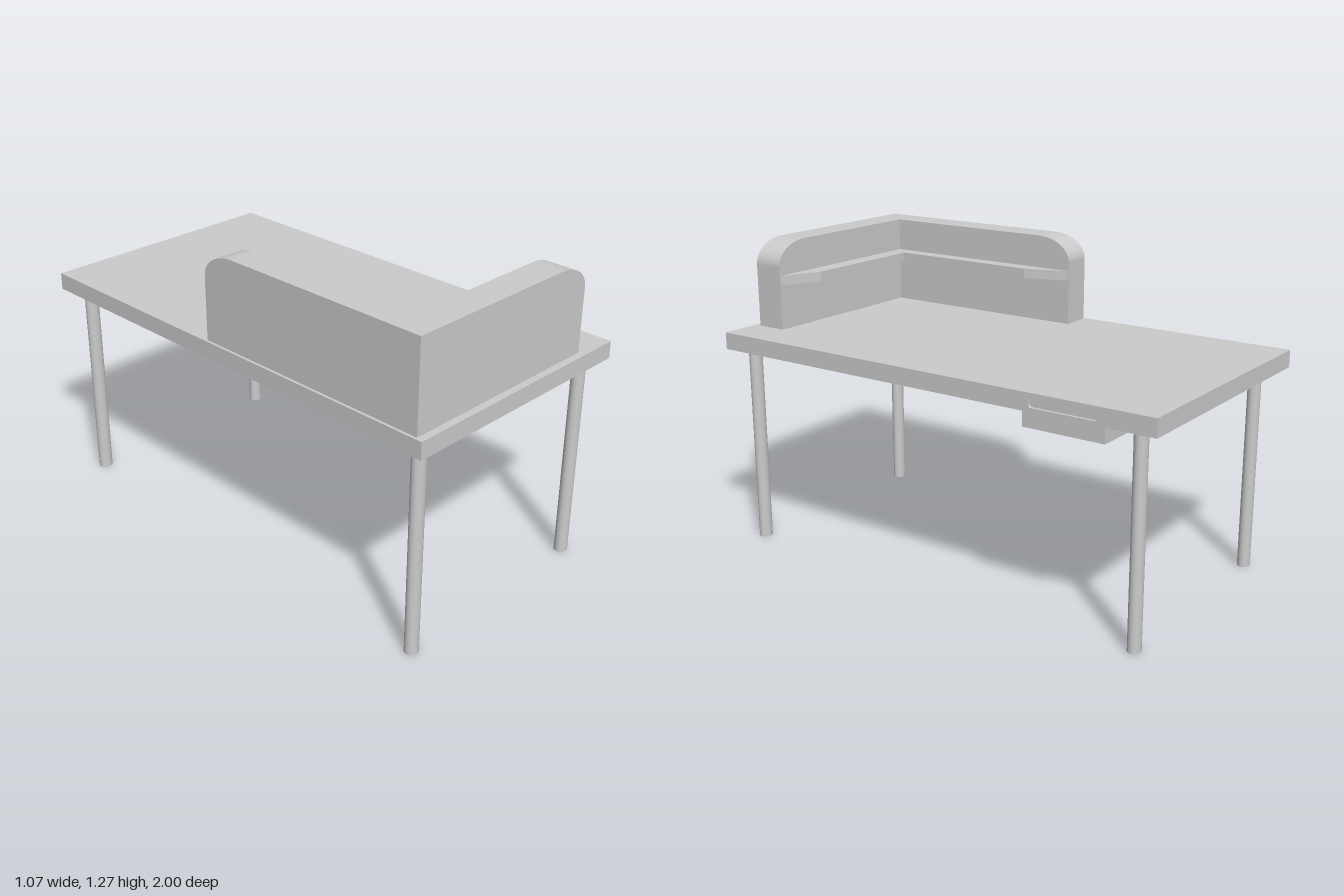
import * as THREE from 'three';

const material = new THREE.MeshStandardMaterial({ color: 0xcccccc });

function add(group, geometry, name, x = 0, y = 0, z = 0) {
  const mesh = new THREE.Mesh(geometry, material);
  mesh.name = name;
  mesh.position.set(x, y, z);
  group.add(mesh);
  return mesh;
}

const polygon = (points) => new THREE.Shape(points.map(([x, y]) => new THREE.Vector2(x, y)));
const extrude = (shape, depth) =>
  new THREE.ExtrudeGeometry(shape, { depth, bevelEnabled: false, curveSegments: 14 });

// Upright panel outline with one elliptical upper corner at its free end
function panelShape(start, end, bottom, top) {
  const rx = 0.15, ry = 0.1;
  const s = new THREE.Shape();
  s.moveTo(start, bottom);
  s.lineTo(end, bottom);
  s.lineTo(end, top - ry);
  s.absellipse(end - rx, top - ry, rx, ry, 0, Math.PI / 2, false);
  s.lineTo(start, top);
  s.closePath();
  return s;
}

// Rounded slot outline, centred at (cx, cy)
function slotPath(cx, cy, w, h, r) {
  const p = new THREE.Path();
  const x = w / 2 - r, y = h / 2 - r;
  p.absarc(cx + x, cy + y, r, 0, Math.PI / 2, false);
  p.absarc(cx - x, cy + y, r, Math.PI / 2, Math.PI, false);
  p.absarc(cx - x, cy - y, r, Math.PI, Math.PI * 1.5, false);
  p.absarc(cx + x, cy - y, r, Math.PI * 1.5, Math.PI * 2, false);
  p.closePath();
  return p;
}

export function createModel() {
  const desk = new THREE.Group();
  desk.name = 'desk';

  // Table top, with a shallow slot in its left edge
  const lip = 0.012;
  add(desk, new THREE.BoxGeometry(1.07 - lip, 0.07, 2), 'tableTop', -lip / 2, 0.875, 0);
  const edge = polygon([[-1, 0.84], [1, 0.84], [1, 0.91], [-1, 0.91]]);
  edge.holes.push(slotPath(0.633, 0.877, 0.275, 0.042, 0.01));
  const edgeMesh = add(desk, extrude(edge, lip), 'slottedEdge', 0.535 - lip, 0, 0);
  edgeMesh.rotation.y = Math.PI / 2;

  // Small pull bar along the top of the slot
  add(desk, new THREE.BoxGeometry(0.01, 0.006, 0.17), 'slotPull', 0.529, 0.895, -0.633);

  // Legs
  for (const x of [-0.467, 0.437]) {
    for (const z of [-0.89, 0.935]) {
      const leg = new THREE.CylinderGeometry(0.0295, 0.0295, 0.84, 32);
      leg.scale(1, 1, 0.86);
      add(desk, leg, 'leg', x, 0.42, z);
    }
  }

  // Box hung below the slot
  const box = polygon([[0.235, 0.784], [0.315, 0.78], [0.53, 0.78], [0.53, 0.84], [0.235, 0.84]]);
  add(desk, extrude(box, 0.335), 'underBox', 0, 0, -0.803);

  // Screen around the front and right sides
  add(desk, extrude(panelShape(-0.524, 0.367, 0.91, 1.27), 0.128), 'frontScreen', 0, 0, 0.843);
  const side = add(desk, extrude(panelShape(-0.843, 0.065, 0.91, 1.27), 0.124), 'sideScreen', -0.4, 0, 0);
  side.geometry.rotateY(Math.PI / 2);
  side.position.x = -0.524;

  // L-shaped ledge inside the screen, tapered at both ends
  const ledge = polygon([
    [-0.4, 0.06], [-0.34, -0.12], [-0.34, -0.77], [0.2, -0.77], [0.36, -0.843], [-0.4, -0.843],
  ]);
  const ledgeMesh = add(desk, extrude(ledge, 0.04), 'ledge', 0, 1.095, 0);
  ledgeMesh.rotation.x = -Math.PI / 2;

  return desk;
}
